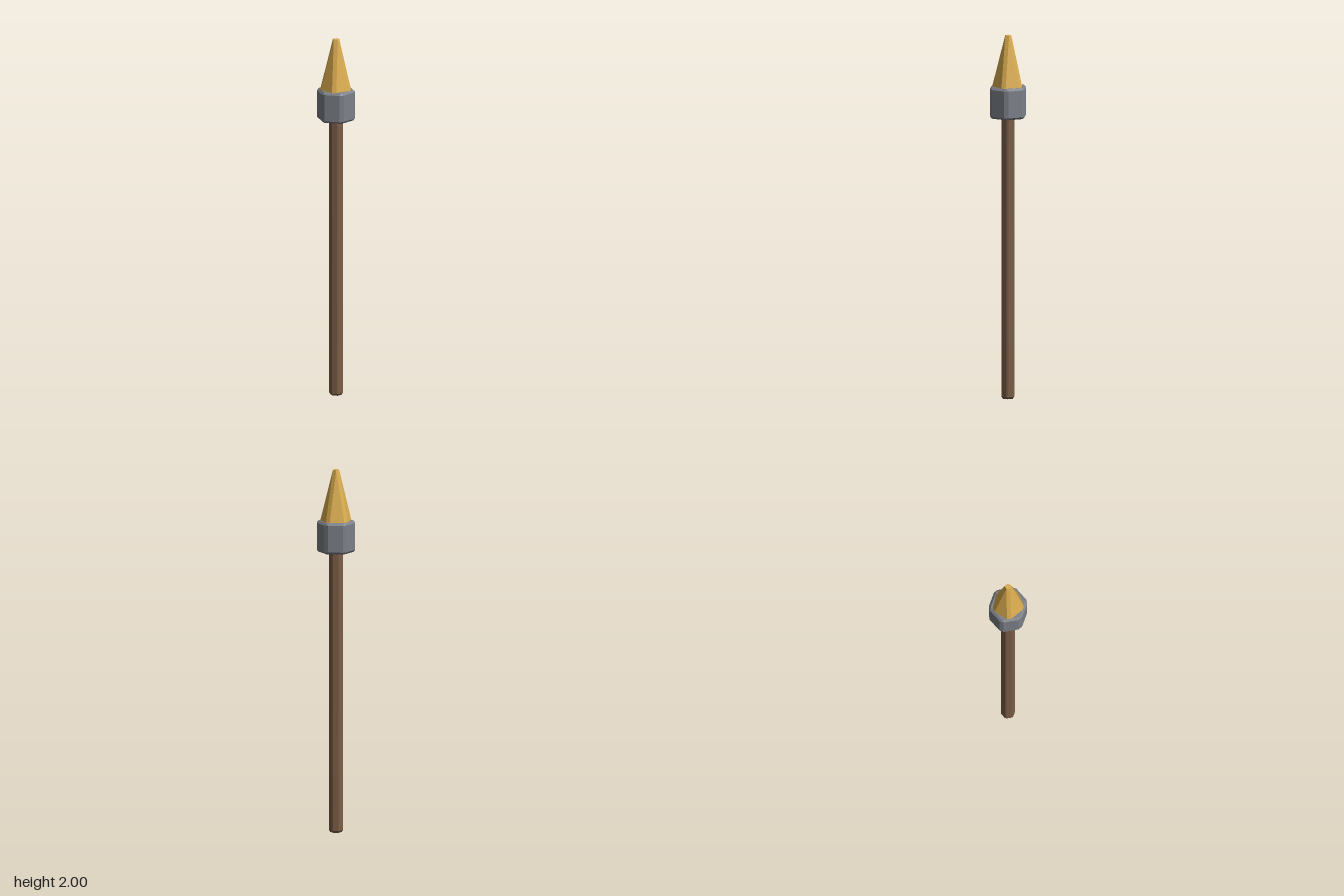
import * as THREE from 'three';

const wood = new THREE.MeshStandardMaterial({ color: 0x7a5e46 });
wood.name = 'brown wood';
const iron = new THREE.MeshStandardMaterial({ color: 0x7c8088 });
iron.name = 'grey iron';
const gold = new THREE.MeshStandardMaterial({ color: 0xdaac4e });
gold.name = 'golden flame';

// One level of a bevelled prism: each corner is cut into two points
function ring(sides, radius, halfCut, y, turn = 0) {
  const points = [];
  for (let k = 0; k < sides; k++) {
    const a = turn + (k * 2 * Math.PI) / sides;
    for (const t of [-halfCut, halfCut]) {
      points.push(new THREE.Vector3(
        radius * Math.sin(a) + t * Math.cos(a), y,
        radius * Math.cos(a) - t * Math.sin(a)));
    }
  }
  return points;
}

// Flat-shaded skin over the levels from bottom to top, with both ends closed
function loft(name, rings, material) {
  const pos = [];
  const tri = (a, b, c) => {
    const area = b.clone().sub(a).cross(c.clone().sub(a)).length();
    if (area > 1e-9) for (const p of [a, b, c]) pos.push(p.x, p.y, p.z);
  };
  const n = rings[0].length;
  const bottom = rings[0], top = rings[rings.length - 1];
  const bottomCentre = new THREE.Vector3(0, bottom[0].y, 0);
  const topCentre = new THREE.Vector3(0, top[0].y, 0);
  for (let i = 0; i < n; i++) {
    const j = (i + 1) % n;
    for (let r = 0; r < rings.length - 1; r++) {
      const lo = rings[r], hi = rings[r + 1];
      tri(lo[i], lo[j], hi[j]);
      tri(lo[i], hi[j], hi[i]);
    }
    tri(bottomCentre, bottom[j], bottom[i]);
    tri(topCentre, top[i], top[j]);
  }
  const geometry = new THREE.BufferGeometry();
  geometry.setAttribute('position', new THREE.Float32BufferAttribute(pos, 3));
  geometry.computeVertexNormals();
  const mesh = new THREE.Mesh(geometry, material);
  mesh.name = name;
  return mesh;
}

export function createModel() {
  const group = new THREE.Group();
  group.name = 'torch';

  // Hexagonal shaft with a chamfered foot
  group.add(loft('handle', [
    ring(6, 0.031, 0, 0),
    ring(6, 0.038, 0.005, 0.012),
    ring(6, 0.038, 0.005, 1.56),
  ], wood));

  // Hexagonal head with chamfered edges
  group.add(loft('collar', [
    ring(6, 0.096, 0, 1.548),
    ring(6, 0.1035, 0.012, 1.56),
    ring(6, 0.1035, 0.012, 1.708),
    ring(6, 0.096, 0, 1.72),
  ], iron));

  // Five-sided flame: its cut corners run up to the edges of a small tip
  const tip = 0.018;
  group.add(loft('flame', [
    ring(5, 0.086, 0.012, 1.715, Math.PI),
    ring(5, tip * Math.cos(Math.PI / 5), tip * Math.sin(Math.PI / 5), 2, Math.PI),
  ], gold));

  return group;
}
